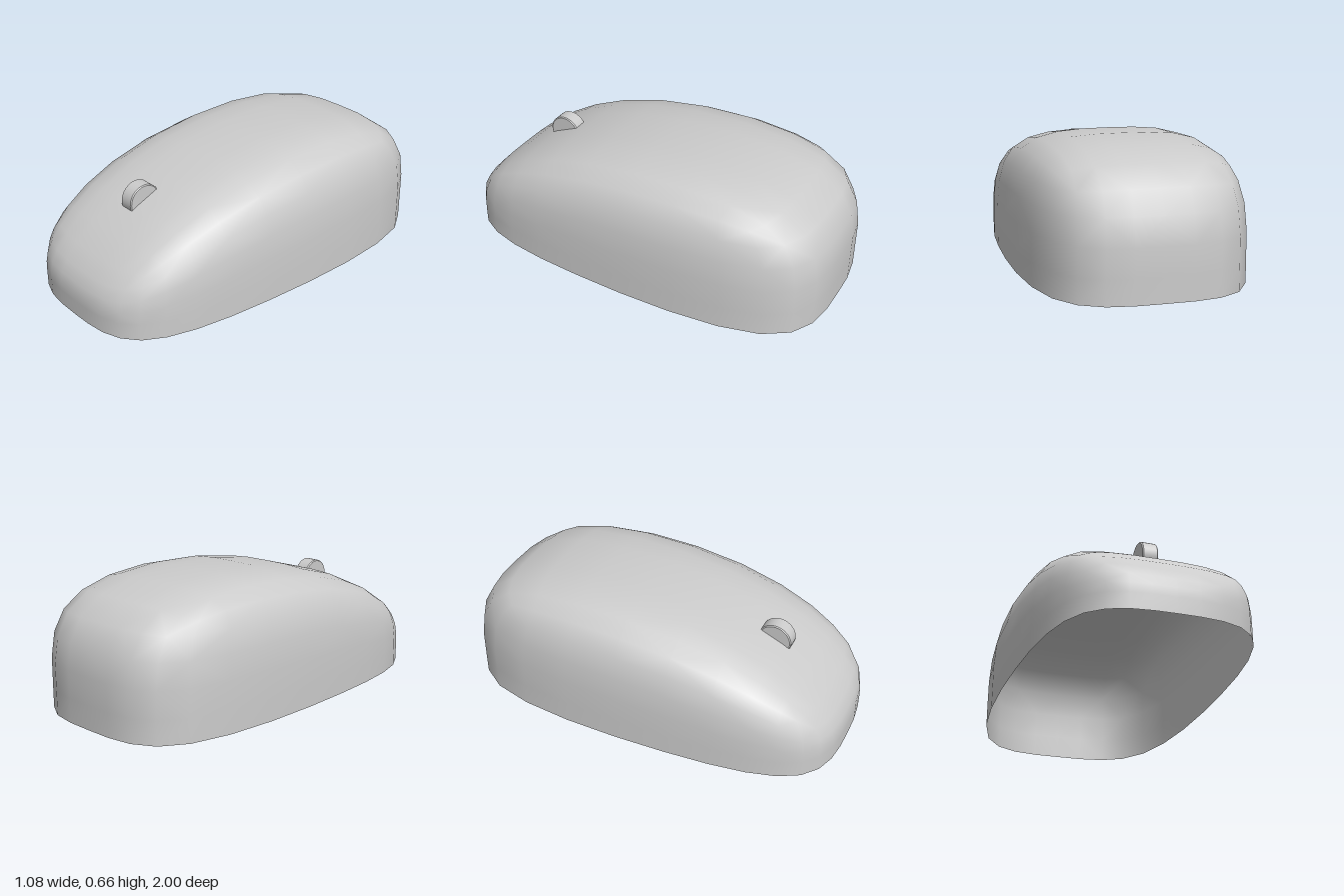
import * as THREE from 'three';
import { toCreasedNormals } from 'three/addons/utils/BufferGeometryUtils.js';

const edgeKey = (a, b) => (a < b ? a + '_' + b : b + '_' + a);
const average = (list) => list.reduce((s, v) => s.add(v), new THREE.Vector3()).divideScalar(list.length);

// One step of Catmull-Clark subdivision; old vertices keep their index
function subdivide({ points, faces }) {
  const edges = new Map();
  const around = points.map(() => ({ faces: [], mids: [], rim: [] }));
  const centres = faces.map((f) => average(f.map((i) => points[i])));
  faces.forEach((f, n) => f.forEach((a, k) => {
    const b = f[(k + 1) % f.length], key = edgeKey(a, b);
    if (!edges.has(key)) edges.set(key, { a, b, faces: [] });
    edges.get(key).faces.push(n);
    around[a].faces.push(centres[n]);
  }));
  for (const e of edges.values()) {
    const mid = average([points[e.a], points[e.b]]);
    e.rim = e.faces.length === 1;
    e.point = e.rim ? mid : average([points[e.a], points[e.b], ...e.faces.map((n) => centres[n])]);
    for (const i of [e.a, e.b]) {
      around[i].mids.push(mid);
      if (e.rim) around[i].rim.push(mid);
    }
  }
  const out = points.map((p, i) => {
    const { faces: fc, mids, rim } = around[i];
    if (rim.length) return average([p, p, ...rim]);
    const n = fc.length;
    return average(fc).addScaledVector(average(mids), 2).addScaledVector(p, n - 3).divideScalar(n);
  });
  const firstCentre = out.length;
  out.push(...centres);
  for (const e of edges.values()) e.index = out.push(e.point) - 1;
  const quads = [];
  faces.forEach((f, n) => f.forEach((a, k) => {
    const next = f[(k + 1) % f.length], prev = f[(k + f.length - 1) % f.length];
    quads.push([a, edges.get(edgeKey(a, next)).index, firstCentre + n, edges.get(edgeKey(prev, a)).index]);
  }));
  return { points: out, faces: quads };
}

// Coarse cage: a 3 x 3 top grid and a lower ring, in rows from back to front
function shellCage() {
  const halfWidth = [0.5535, 0.546, 0.441];
  const z = [-1.02, 0.33, 1.0], top = [0.675, 0.689, 0.258], low = [0.12, 0.11, 0.08];
  const points = [], faces = [];
  for (let j = 0; j < 3; j++)
    for (let i = 0; i < 3; i++) points.push(new THREE.Vector3((i - 1) * halfWidth[j], top[j], z[j]));
  for (let j = 0; j < 2; j++)
    for (let i = 0; i < 2; i++) {
      const a = j * 3 + i;
      faces.push([a, a + 3, a + 4, a + 1]);
    }
  const ring = [0, 3, 6, 7, 8, 5, 2, 1];
  for (const i of ring) {
    const p = points[i].clone();
    const row = Math.floor(i / 3);
    p.y = low[row];
    if (i === 1) p.z = -0.99;
    points.push(p);
  }
  ring.forEach((a, k) => {
    const n = (k + 1) % 8;
    faces.push([9 + k, 9 + n, ring[n], a]);
  });
  return { points, faces };
}

function shellGeometry() {
  let mesh = subdivide(subdivide(shellCage()));
  const faces = mesh.faces, count = mesh.points.length;
  // further steps only move the kept vertices onto the smooth surface
  for (let k = 0; k < 3; k++) mesh = subdivide(mesh);
  const points = mesh.points.slice(0, count);

  // straight wall from the rim down to the ground
  const used = new Set();
  faces.forEach((f) => f.forEach((a, k) => used.add(a + '>' + f[(k + 1) % 4])));
  const foot = new Map();
  const drop = (i) => {
    if (!foot.has(i)) foot.set(i, points.push(points[i].clone().setY(0)) - 1);
    return foot.get(i);
  };
  const wall = [];
  faces.forEach((f) => f.forEach((a, k) => {
    const b = f[(k + 1) % 4];
    if (!used.has(b + '>' + a)) wall.push([drop(a), drop(b), b, a]);
  }));

  const geometry = new THREE.BufferGeometry().setFromPoints(points);
  geometry.setIndex([...faces, ...wall].flatMap(([a, b, c, d]) => [a, b, c, a, c, d]));
  geometry.computeVertexNormals();
  return geometry;
}

export function createModel() {
  const group = new THREE.Group();
  group.name = 'computerMouse';

  // Open-bottomed body shell
  const shell = new THREE.Mesh(shellGeometry(),
    new THREE.MeshStandardMaterial({ color: 0xcccccc, side: THREE.DoubleSide }));
  shell.name = 'bodyShell';
  group.add(shell);

  // Scroll wheel with slightly bevelled rims
  const r = 0.085, w = 0.039, bevel = 0.005;
  const profile = [[0, -w], [r - bevel, -w], [r, -w + bevel], [r, w - bevel], [r - bevel, w], [0, w]]
    .map(([x, y]) => new THREE.Vector2(x, y));
  const wheel = new THREE.Mesh(toCreasedNormals(new THREE.LatheGeometry(profile, 32), 0.6),
    new THREE.MeshStandardMaterial({ color: 0xcccccc }));
  wheel.name = 'scrollWheel';
  wheel.rotation.z = Math.PI / 2;
  wheel.position.set(0, 0.48, 0.585);
  group.add(wheel);

  return group;
}
